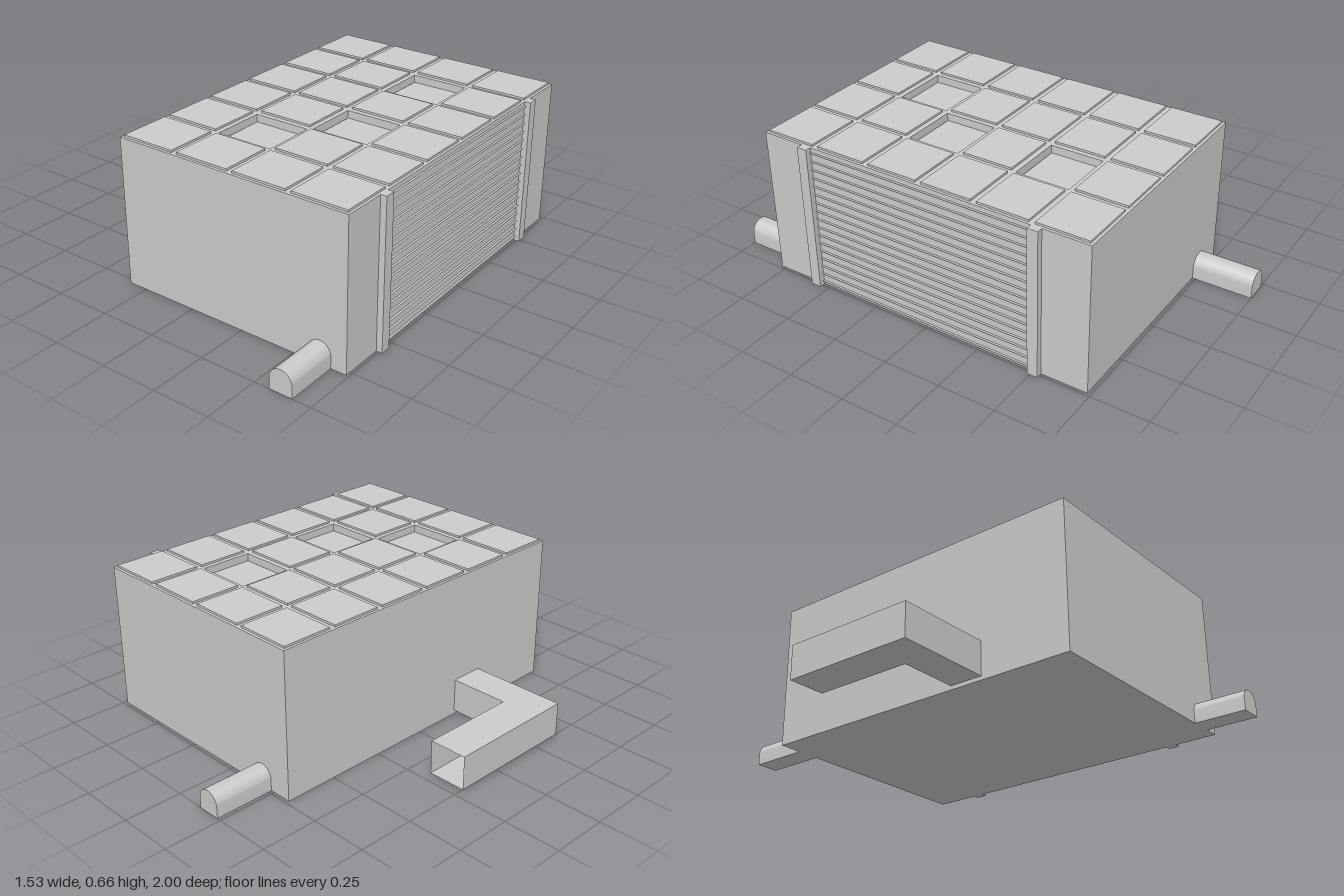
import * as THREE from 'three';
import { toCreasedNormals } from 'three/addons/utils/BufferGeometryUtils.js';

const grey = new THREE.MeshStandardMaterial({ color: 0xcccccc });
const greyThin = new THREE.MeshStandardMaterial({ color: 0xcccccc, side: THREE.DoubleSide });

// Housing extents
const X0 = -0.336, X1 = 0.738, Z0 = -0.735, Z1 = 0.772, TOP = 0.647;
const COLS = 4, ROWS = 6, PLATE = 0.04;
const pitchX = 0.269, pitchZ = 0.2515, tileW = 0.244, tileD = 0.225;
const sunkTiles = ['2,1', '2,3', '1,4']; // column,row counted from the back left

function add(parent, name, geometry, material = grey) {
  const mesh = new THREE.Mesh(geometry, material);
  mesh.name = name;
  parent.add(mesh);
  return mesh;
}

function box(parent, name, x0, x1, y0, y1, z0, z1) {
  const mesh = add(parent, name, new THREE.BoxGeometry(x1 - x0, y1 - y0, z1 - z0));
  mesh.position.set((x0 + x1) / 2, (y0 + y1) / 2, (z0 + z1) / 2);
  return mesh;
}

function rectangle(path, x0, x1, y0, y1) {
  path.moveTo(x0, y0);
  path.lineTo(x1, y0);
  path.lineTo(x1, y1);
  path.lineTo(x0, y1);
  path.closePath();
  return path;
}

const tileCentre = (c, r) => [
  (X0 + X1) / 2 + (c - (COLS - 1) / 2) * pitchX,
  (Z0 + Z1) / 2 + (r - (ROWS - 1) / 2) * pitchZ,
];

// Housing with a top plate pierced where tiles are sunk
function makeHousing() {
  const group = new THREE.Group();
  group.name = 'housing';
  box(group, 'body', X0, X1, 0, TOP - PLATE, Z0, Z1);
  const shape = rectangle(new THREE.Shape(), X0, X1, -Z1, -Z0);
  const tiles = new THREE.Group();
  tiles.name = 'roofTiles';
  for (let c = 0; c < COLS; c++) {
    for (let r = 0; r < ROWS; r++) {
      const [x, z] = tileCentre(c, r);
      const sunk = sunkTiles.includes(`${c},${r}`);
      const w = tileW / 2, d = tileD / 2, e = 0.004;
      if (sunk) {
        shape.holes.push(rectangle(new THREE.Path(), x - w - e, x + w + e, -z - d - e, -z + d + e));
      }
      const y0 = sunk ? TOP - PLATE : TOP;
      box(tiles, sunk ? 'sunkTile' : 'roofTile', x - w, x + w, y0 - 0.005, y0 + 0.009, z - d, z + d);
    }
  }
  const plate = new THREE.ExtrudeGeometry(shape, { depth: PLATE, bevelEnabled: false });
  plate.rotateX(-Math.PI / 2).translate(0, TOP - PLATE, 0);
  add(group, 'topPlate', plate);
  group.add(tiles);
  return group;
}

// Grille of thin horizontal fins between two posts on the left side
function makeGrille() {
  const group = new THREE.Group();
  group.name = 'sideGrille';
  for (const z of [-0.51, 0.558]) {
    box(group, 'grillePost', X1, 0.764, 0, TOP, z - 0.023, z + 0.023);
  }
  const fins = 17, depth = 0.01;
  for (let i = 0; i < fins; i++) {
    const fin = new THREE.PlaneGeometry(depth, 1.022).rotateX(-Math.PI / 2);
    add(group, 'grilleFin', fin, greyThin)
      .position.set(X1 + depth / 2, (TOP * (i + 0.5)) / fins, 0.024);
  }
  return group;
}

// Arched pipe: straight sides with a half-round top
function makePipe(name, x, z0, z1) {
  const r = 0.051;
  const shape = new THREE.Shape();
  shape.moveTo(-r, 0);
  shape.lineTo(r, 0);
  shape.lineTo(r, r);
  shape.absarc(0, r, r, 0, Math.PI, false);
  shape.closePath();
  const geometry = new THREE.ExtrudeGeometry(shape, { depth: z1 - z0, bevelEnabled: false, curveSegments: 16 });
  const pipe = new THREE.Mesh(toCreasedNormals(geometry, 0.6), grey);
  pipe.name = name;
  pipe.position.set(x, 0, z0);
  return pipe;
}

// L-shaped hollow duct, open at its rear end
function makeDuct() {
  const group = new THREE.Group();
  group.name = 'duct';
  const y0 = 0.017, y1 = 0.165;
  // Outline in x, z, running from one lip of the opening to the other
  const outline = [
    [-0.6, -0.222], [-0.6, 0.216], [X0, 0.216],
    [X0, 0.366], [-0.768, 0.366], [-0.768, -0.222],
  ];
  const shape = new THREE.Shape(outline.map(([x, z]) => new THREE.Vector2(x, -z)));
  for (const [name, y] of [['ductFloor', y0], ['ductRoof', y1]]) {
    add(group, name, new THREE.ShapeGeometry(shape).rotateX(-Math.PI / 2), greyThin).position.y = y;
  }
  for (let i = 0; i < outline.length - 1; i++) {
    if (i === 2) continue; // this end meets the housing
    const [ax, az] = outline[i], [bx, bz] = outline[i + 1];
    const wall = add(group, 'ductWall', new THREE.PlaneGeometry(Math.hypot(bx - ax, bz - az), y1 - y0), greyThin);
    wall.position.set((ax + bx) / 2, (y0 + y1) / 2, (az + bz) / 2);
    wall.rotation.y = Math.atan2(az - bz, bx - ax);
  }
  return group;
}

export function createModel() {
  const model = new THREE.Group();
  model.name = 'ventilationUnit';
  model.add(
    makeHousing(),
    makeGrille(),
    makeDuct(),
    makePipe('frontPipe', 0.618, Z1, 1),
    makePipe('backPipe', -0.183, -1, Z0),
  );
  return model;
}
